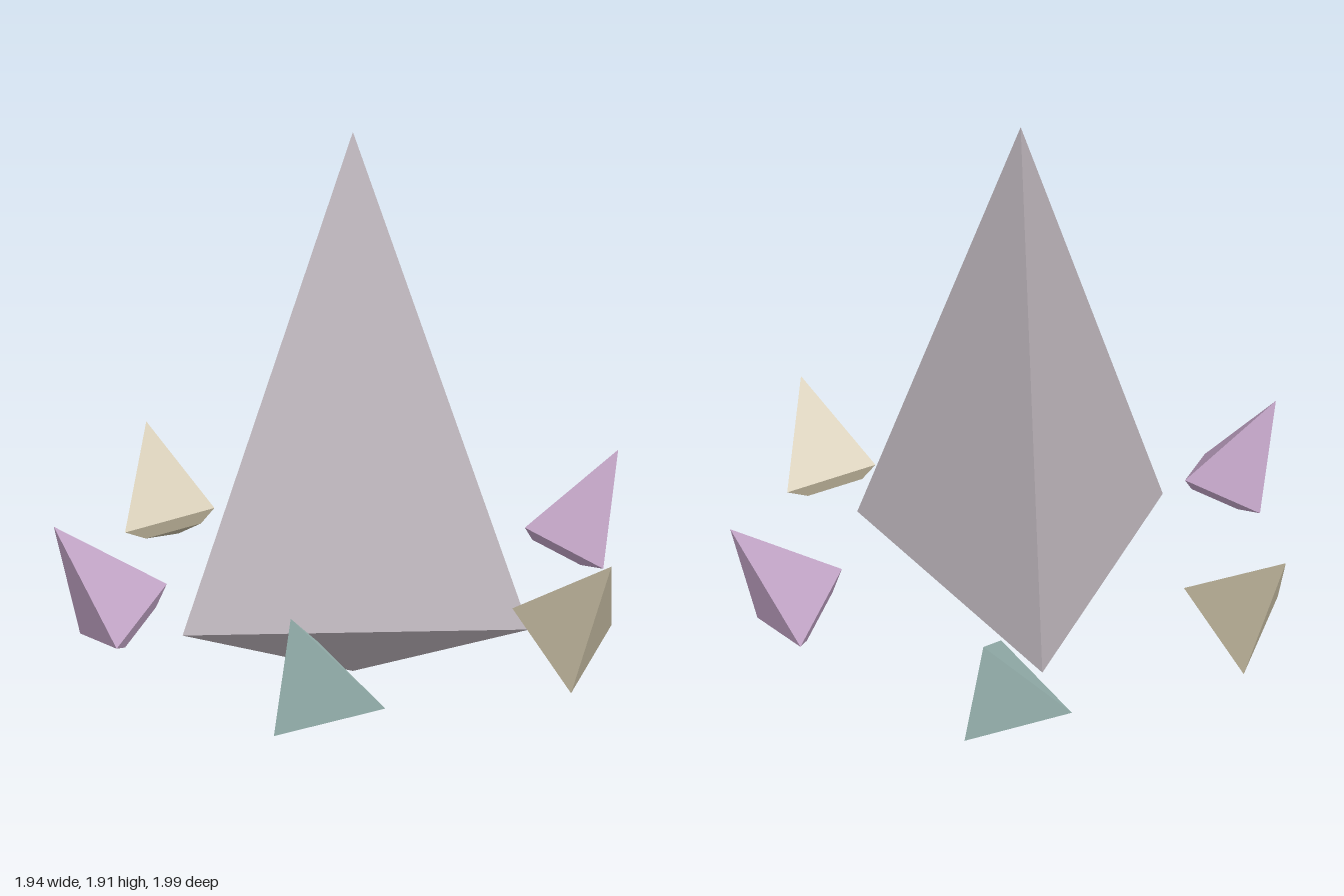
import * as THREE from 'three';

// Three-sided faceted crystal from a [radius, height] profile, bottom to top
function crystal(name, profile, color, phiStart = 0) {
  const points = profile.map(([r, y]) => new THREE.Vector2(r, y));
  const geometry = new THREE.LatheGeometry(points, 3, phiStart).toNonIndexed();
  geometry.computeVertexNormals();
  const material = new THREE.MeshStandardMaterial({ color, flatShading: true });
  const mesh = new THREE.Mesh(geometry, material);
  mesh.name = name;
  return mesh;
}

export function createModel() {
  const model = new THREE.Group();
  model.name = 'crystalCluster';

  // Tall central crystal, one corner pointing to the back
  model.add(crystal('mainCrystal', [[0, 0], [0.66, 0.32], [0, 1.91]], 0xbcb4ba, Math.PI));

  // Shard pose: long axis leans outward, one base corner points to the centre
  const axis = new THREE.Vector3(-0.255, 0.863, 0.435).normalize();
  const inner = new THREE.Vector3(-0.086, 0.42, -0.89);
  const side = new THREE.Vector3().crossVectors(axis, inner).normalize();
  inner.crossVectors(side, axis);
  const pose = new THREE.Matrix4().makeBasis(side, axis, inner);

  // Ring of six floating shards, opposite ones share a colour
  const shardProfile = [[0, -0.039], [0.122, -0.039], [0.197, 0], [0, 0.394]];
  const colors = [0xa6c4c0, 0xc4baa0, 0xc4a6c8];
  for (let i = 0; i < 6; i++) {
    const shard = crystal('shard', shardProfile, colors[i % 3]);
    shard.quaternion.setFromRotationMatrix(pose);
    shard.position.set(-0.113, 0.367, 0.825);
    const holder = new THREE.Group();
    holder.name = 'orbitingShard' + (i + 1);
    holder.rotation.y = (i * Math.PI) / 3;
    holder.add(shard);
    model.add(holder);
  }
  return model;
}
